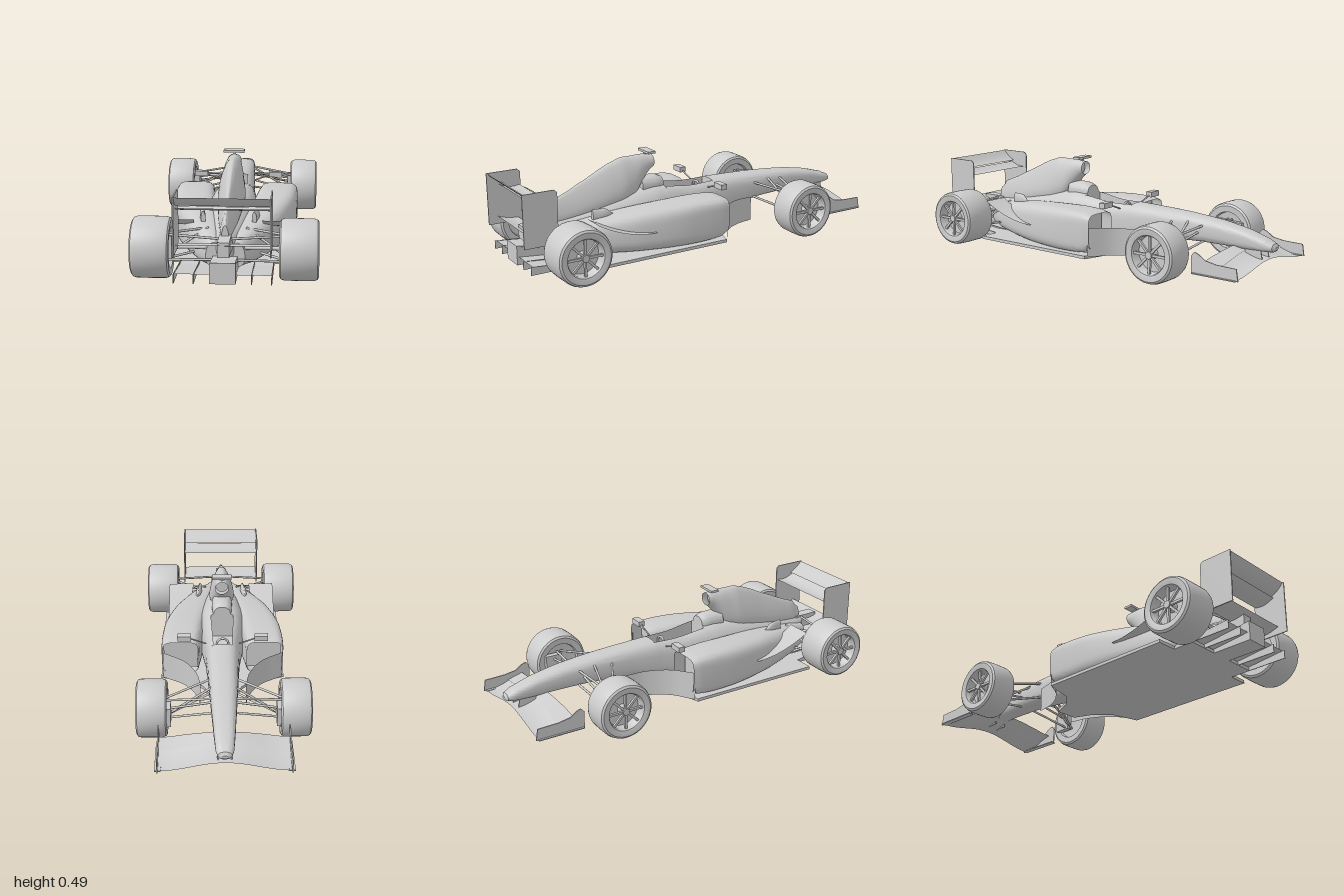
import * as THREE from 'three';
import { toCreasedNormals } from 'three/addons/utils/BufferGeometryUtils.js';

const grey = new THREE.MeshStandardMaterial({ color: 0xcccccc });
const thin = new THREE.MeshStandardMaterial({ color: 0xcccccc, side: THREE.DoubleSide });
const V = (x, y, z) => new THREE.Vector3(x, y, z);
const TAU = Math.PI * 2;

// Superellipse sections [z, centre x, half width, bottom, top, power, taper] blended along z.
// rim > 0 leaves the top open from that angle and adds an inner floor (a tub).
function loftGeometry(rows, { rim = 0, floor = 0, capFront = true, capBack = true, side = 1 } = {}) {
  const N = 40, STEP = 5, rings = [];
  const at = i => rows[Math.min(Math.max(i, 0), rows.length - 1)];
  const cr = (a, b, c, d, t) => b + 0.5 * t * (c - a + t * (2 * a - 5 * b + 4 * c - d + t * (3 * (b - c) + d - a)));
  for (let k = 0; k <= (rows.length - 1) * STEP; k++) {
    const i = Math.floor(k / STEP), t = (k % STEP) / STEP;
    const r = at(i).map((_, j) => j === 0 ? at(i)[0] + (at(i + 1)[0] - at(i)[0]) * t
      : cr(at(i - 1)[j], at(i)[j], at(i + 1)[j], at(i + 2)[j], t));
    const [z, cx, w, yb, yt, n, taper] = r, ring = [];
    const pw = v => Math.sign(v) * Math.pow(Math.abs(v), 2 / n);
    for (let j = 0; j < (rim ? N + 1 : N); j++) {
      const a = rim + (TAU - 2 * rim) * j / N, v = pw(Math.cos(a));
      ring.push([side * cx + w * pw(Math.sin(a)) * (1 - taper * (v + 1) / 2), (yb + yt) / 2 + v * (yt - yb) / 2, z]);
    }
    if (rim) ring.push([ring[N][0], floor, z], [ring[0][0], floor, z]);
    rings.push(ring);
  }
  const M = rings[0].length, pos = rings.flat(2), idx = [];
  for (let i = 0; i < rings.length - 1; i++) for (let j = 0; j < M; j++) {
    const a = i * M + j, b = i * M + (j + 1) % M;
    idx.push(a, a + M, b, b, a + M, b + M);
  }
  const cap = (ring, base, flip) => {
    const c = pos.length / 3, m = [0, 1, 2].map(k => ring.reduce((s, p) => s + p[k], 0) / M);
    pos.push(...m);
    for (let j = 0; j < M; j++) {
      const a = base + j, b = base + (j + 1) % M;
      idx.push(c, flip ? b : a, flip ? a : b);
    }
  };
  if (capFront) cap(rings[0], 0, false);
  if (capBack) cap(rings.at(-1), (rings.length - 1) * M, true);
  const g = new THREE.BufferGeometry();
  g.setAttribute('position', new THREE.Float32BufferAttribute(pos, 3));
  g.setIndex(idx);
  return toCreasedNormals(g, 0.6);
}

// Thin curved panel from a rule (u, v) -> [x, y, z]
function sheetGeometry(rule, nu = 16, nv = 8) {
  const g = new THREE.PlaneGeometry(1, 1, nu, nv), p = g.attributes.position;
  for (let i = 0; i < p.count; i++) p.setXYZ(i, ...rule(p.getX(i) + 0.5, p.getY(i) + 0.5));
  g.computeVertexNormals();
  return g;
}

// Flat plate in the side plane, from [z, y] corners, centred on x
function plateGeometry(pts, x, t = 0.006) {
  const shape = new THREE.Shape(pts.map(([z, y]) => new THREE.Vector2(-z, y)));
  return new THREE.ExtrudeGeometry(shape, { depth: t, bevelEnabled: false }).translate(0, 0, -t / 2).rotateY(Math.PI / 2).translate(x, 0, 0);
}

export function createModel() {
  const car = new THREE.Group();
  car.name = 'racingCar';
  const add = (name, geo, mat = grey, parent = car) => {
    const m = new THREE.Mesh(geo, mat);
    m.name = name;
    parent.add(m);
    return m;
  };
  const box = (name, w, h, d, x, y, z, parent) => add(name, new THREE.BoxGeometry(w, h, d).translate(x, y, z), grey, parent);
  const rod = (name, a, b, r = 0.006) => {
    const m = add(name, new THREE.CylinderGeometry(r, r, a.distanceTo(b), 8));
    m.position.copy(a).lerp(b, 0.5);
    m.quaternion.setFromUnitVectors(V(0, 1, 0), b.clone().sub(a).normalize());
  };

  // Nose, cockpit tub and rear body share their end sections
  const dash = [-0.17, 0, 0.092, 0.08, 0.288, 3, 0.1], seatBack = [0.13, 0, 0.13, 0.04, 0.308, 3, 0.2];
  add('nose', loftGeometry([
    [-1, 0, 0.014, 0.157, 0.174, 2, 0], [-0.99, 0, 0.033, 0.148, 0.188, 2.2, 0], [-0.95, 0, 0.043, 0.144, 0.206, 2.6, 0],
    [-0.85, 0, 0.051, 0.143, 0.234, 3, 0], [-0.7, 0, 0.06, 0.145, 0.26, 3, 0], [-0.5, 0, 0.073, 0.14, 0.277, 3, 0.05],
    [-0.3, 0, 0.084, 0.115, 0.285, 3, 0.1], dash]));
  add('cockpitTub', loftGeometry([dash, [-0.03, 0, 0.108, 0.05, 0.288, 3, 0.15], seatBack],
    { rim: 0.45, floor: 0.17, capFront: false, capBack: false }));
  add('rearBody', loftGeometry([seatBack, [0.22, 0, 0.14, 0.04, 0.312, 2.6, 0.2], [0.4, 0, 0.13, 0.04, 0.285, 2.4, 0.2],
    [0.6, 0, 0.1, 0.045, 0.24, 2.4, 0.2], [0.78, 0, 0.055, 0.06, 0.21, 2.4, 0.1], [0.82, 0, 0.035, 0.13, 0.21, 3, 0]]));
  add('headrest', loftGeometry([[0.13, 0, 0.046, 0.25, 0.345, 2.4, 0], [0.16, 0, 0.052, 0.25, 0.357, 2.4, 0], [0.26, 0, 0.055, 0.25, 0.36, 2.4, 0]]));
  add('engineCover', loftGeometry([
    [0.18, 0, 0.036, 0.4, 0.468, 2, 0], [0.23, 0, 0.042, 0.35, 0.475, 2, 0.05], [0.3, 0, 0.07, 0.26, 0.474, 2.2, 0.4],
    [0.39, 0, 0.088, 0.22, 0.465, 2.2, 0.6], [0.6, 0, 0.066, 0.19, 0.374, 2.2, 0.7], [0.77, 0, 0.035, 0.17, 0.302, 2.2, 0.6],
    [0.81, 0, 0.022, 0.17, 0.26, 2.2, 0.5]], { capFront: false }), thin);
  add('airIntakeWall', new THREE.CircleGeometry(0.034, 24).rotateY(Math.PI).translate(0, 0.43, 0.215), thin);
  const steering = add('steeringWheel', new THREE.TorusGeometry(0.03, 0.006, 8, 24));
  steering.position.set(0, 0.25, -0.1);
  box('cameraPod', 0.104, 0.012, 0.045, 0, 0.488, 0.205);
  box('cameraStalk', 0.012, 0.02, 0.025, 0, 0.475, 0.21);
  box('crashStructure', 0.055, 0.07, 0.14, 0, 0.175, 0.85);

  // Floor and diffuser
  const half = [[0.06, -0.3], [0.1, -0.2], [0.18, -0.12], [0.325, -0.08], [0.325, 0.65], [0.22, 0.65], [0.22, 0.76]];
  const outline = [...half, ...half.map(([x, z]) => [-x, z]).reverse()].map(([x, z]) => new THREE.Vector2(x, z));
  add('floor', new THREE.ExtrudeGeometry(new THREE.Shape(outline), { depth: 0.016, bevelEnabled: false })
    .rotateX(Math.PI / 2).translate(0, 0.048, 0));
  add('diffuserCentre', plateGeometry([[0.7, 0.032], [0.97, 0.032], [0.97, 0.13], [0.7, 0.1]], 0, 0.114));

  // Front wing, bowed along its span, with a second flap behind
  const sag = x => 0.1 + 0.022 * Math.cos(x * 10);
  add('frontWing', sheetGeometry((u, v) => {
    const x = (u - 0.5) * 0.62;
    return [x, sag(x) - 0.012 + 0.03 * v * v, -0.965 + 0.13 * v];
  }, 32), thin);
  add('frontFlap', sheetGeometry((u, v) => {
    const x = (u - 0.5) * 0.62;
    return [x, sag(x) + 0.018 + 0.022 * v, -0.845 + v * (0.05 + 0.03 * Math.min(1, Math.abs(x) / 0.2))];
  }, 32), thin);

  // Rear wing elements
  const wingPanel = (name, z0, y0, z1, y1, bow) => add(name, sheetGeometry((u, v) =>
    [(u - 0.5) * 0.43, y0 + (y1 - y0) * v - bow * Math.sin(Math.PI * v), z0 + (z1 - z0) * v]), thin);
  wingPanel('rearWingMain', 0.825, 0.352, 0.935, 0.37, 0.012);
  wingPanel('rearWingFlap', 0.92, 0.378, 0.995, 0.432, 0.008);
  wingPanel('rearBeamWing', 0.84, 0.182, 0.95, 0.205, 0.006);

  // Wheel: tyre, rim barrel and spokes, outer face towards +x
  const makeWheel = (name, W, x, z) => {
    const R = 0.144, h = W / 2, g = new THREE.Group();
    g.name = name;
    const profile = [[0, -h + 0.03], [0.092, -h + 0.02], [0.096, -h + 0.002], [0.128, -h], [0.138, -h + 0.007], [R - 0.001, -h + 0.022], [R, 0],
      [R - 0.001, h - 0.022], [0.138, h - 0.007], [0.128, h], [0.102, h - 0.002], [0.097, h - 0.004], [0.092, h - 0.012], [0.09, h - 0.055], [0, h - 0.055]];
    add('tyre', toCreasedNormals(new THREE.LatheGeometry(profile.map(p => new THREE.Vector2(...p)), 48).rotateZ(-Math.PI / 2), 0.6), grey, g);
    add('hub', new THREE.CylinderGeometry(0.018, 0.024, 0.05, 20).rotateZ(-Math.PI / 2).translate(h - 0.031, 0, 0), grey, g);
    for (let i = 0; i < 8; i++)
      add('spoke', new THREE.BoxGeometry(0.012, 0.078, 0.012).translate(h - 0.018, 0.054, 0).rotateX(i * TAU / 8), grey, g);
    g.position.set(x, R, z);
    if (x < 0) g.rotation.y = Math.PI;
    car.add(g);
  };

  const barge = new THREE.CatmullRomCurve3([V(0.115, 0, -0.38), V(0.135, 0, -0.28), V(0.2, 0, -0.17), V(0.315, 0, -0.09)]);
  for (const s of [-1, 1]) {
    makeWheel('frontWheel', 0.15, s * 0.35, -0.55);
    makeWheel('rearWheel', 0.18, s * 0.34, 0.78);

    // Sidepod with open inlet and a recessed radiator
    add('sidepod', loftGeometry([
      [-0.1, 0.222, 0.094, 0.075, 0.256, 5, 0], [-0.06, 0.222, 0.1, 0.055, 0.264, 5, 0], [0.05, 0.215, 0.108, 0.045, 0.268, 4.5, 0.02],
      [0.2, 0.2, 0.113, 0.042, 0.262, 4, 0.05], [0.4, 0.16, 0.112, 0.042, 0.246, 3.5, 0.1], [0.55, 0.12, 0.1, 0.045, 0.225, 3, 0.15],
      [0.7, 0.08, 0.075, 0.05, 0.2, 2.6, 0.2], [0.8, 0.05, 0.045, 0.06, 0.175, 2.4, 0.2]], { capFront: false, side: s }), thin);
    box('radiator', 0.18, 0.17, 0.01, s * 0.222, 0.16, -0.03);
    add('exhaustChimney', loftGeometry([[0.48, 0.135, 0.004, 0.21, 0.235, 2, 0], [0.52, 0.132, 0.014, 0.21, 0.265, 2, 0.1],
      [0.59, 0.122, 0.012, 0.2, 0.268, 2, 0.1]], { side: s }));
    add('bargeBoard', sheetGeometry((u, v) => {
      const p = barge.getPoint(u);
      return [s * p.x, 0.042 + v * (0.13 + 0.02 * u), p.z];
    }), thin);
    add('sideWinglet', sheetGeometry((u, v) => [s * (0.2 + 0.1 * v - 0.04 * u * (1 - v)), 0.15 + 0.09 * u * u, 0.32 + 0.32 * u]), thin);

    // Mirror on a stalk
    box('mirror', 0.07, 0.028, 0.035, s * 0.2, 0.298, -0.12);
    rod('mirrorStalk', V(s * 0.085, 0.262, -0.12), V(s * 0.17, 0.293, -0.12), 0.004);

    // Wing end plates, supports and diffuser fences
    add('frontEndPlate', plateGeometry([[-0.98, 0.066], [-0.725, 0.066], [-0.722, 0.15], [-0.74, 0.17], [-0.765, 0.162],
      [-0.8, 0.138], [-0.86, 0.128], [-0.97, 0.125]], s * 0.312));
    box('frontEndPlateFoot', 0.03, 0.005, 0.24, s * 0.31, 0.068, -0.85);
    add('frontWingSupport', plateGeometry([[-0.94, 0.11], [-0.85, 0.12], [-0.84, 0.16], [-0.93, 0.16]], s * 0.032));
    add('rearEndPlate', plateGeometry([[0.82, 0.165], [0.998, 0.165], [1, 0.434], [0.835, 0.434], [0.82, 0.42]], s * 0.215));
    for (const x of [0.057, 0.13, 0.22])
      add('diffuserFence', plateGeometry([[0.66, 0.032], [0.97, 0.032], [0.97, x < 0.1 ? 0.13 : 0.075], [0.66, 0.05]], s * x, 0.004));
    add('diffuserRoof', sheetGeometry((u, v) => [s * (0.057 + 0.163 * u), 0.045 + 0.028 * v, 0.7 + 0.26 * v]), thin);

    // Front suspension
    const f = (x, y, z) => V(s * x, y, z);
    for (const [y, yo] of [[0.235, 0.2], [0.155, 0.1]]) {
      rod('frontWishbone', f(0.05, y, -0.615), f(0.285, yo, -0.57));
      rod('frontWishbone', f(0.06, y, -0.43), f(0.285, yo, -0.55));
    }
    rod('frontPushrod', f(0.06, 0.245, -0.53), f(0.28, 0.11, -0.56));
    rod('steeringRod', f(0.05, 0.2, -0.59), f(0.285, 0.17, -0.6));
    box('frontBrakeDuct', 0.03, 0.1, 0.09, s * 0.272, 0.145, -0.6);

    // Rear suspension and drive shaft
    rod('driveShaft', f(0.02, 0.147, 0.78), f(0.27, 0.147, 0.78), 0.009);
    for (const [y, yo] of [[0.2, 0.205], [0.1, 0.085]]) {
      rod('rearWishbone', f(0.09, y, 0.63), f(0.265, yo, 0.75));
      rod('rearWishbone', f(0.03, y, 0.82), f(0.265, yo, 0.78));
    }
    rod('rearPushrod', f(0.09, 0.21, 0.66), f(0.265, 0.1, 0.72));
    box('rearBrakeDuct', 0.02, 0.11, 0.07, s * 0.258, 0.145, 0.76);
  }
  return car;
}
